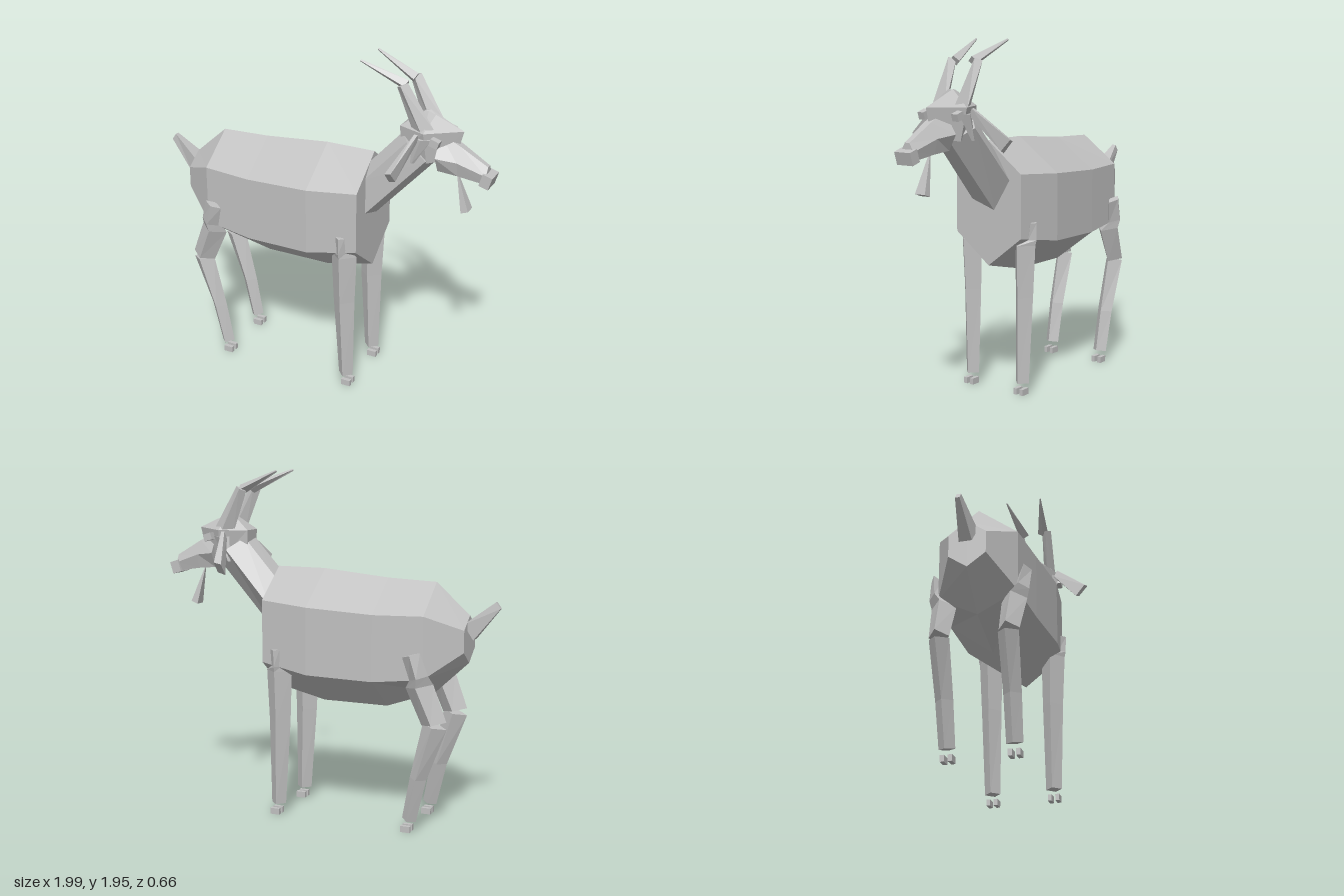
import * as THREE from 'three';

const coat = new THREE.MeshStandardMaterial({ color: 0xc0c0c0, flatShading: true });
coat.name = 'greyCoat';

// Closed solid through a list of rings with equal point counts
function loft(name, rings) {
  const n = rings[0].length;
  const tris = [];
  const cap = (ring, flip) => {
    for (let i = 1; i < n - 1; i++) tris.push(flip ? [ring[0], ring[i + 1], ring[i]] : [ring[0], ring[i], ring[i + 1]]);
  };
  for (let r = 0; r < rings.length - 1; r++) {
    for (let i = 0; i < n; i++) {
      const j = (i + 1) % n;
      const a = rings[r][i], b = rings[r][j], c = rings[r + 1][j], d = rings[r + 1][i];
      tris.push([a, b, c], [a, c, d]);
    }
  }
  cap(rings[0], true);
  cap(rings[rings.length - 1], false);
  // Turn the faces outward, whichever way the rings run
  const [ox, oy, oz] = rings[0][0];
  const o = new THREE.Vector3(ox, oy, oz);
  let volume = 0;
  for (const t of tris) {
    const [a, b, c] = t.map((p) => new THREE.Vector3(...p).sub(o));
    volume += a.dot(b.cross(c));
  }
  const pos = tris.flatMap((t) => (volume < 0 ? [t[0], t[2], t[1]] : t).flat());
  const g = new THREE.BufferGeometry();
  g.setAttribute('position', new THREE.Float32BufferAttribute(pos, 3));
  g.computeVertexNormals();
  const mesh = new THREE.Mesh(g, coat);
  mesh.name = name;
  return mesh;
}

// Diamond ring: centre, half length in x, half width in z, slope of the ring along x
const diamond = ([x, y, z, rx, rz, tilt = 0]) => [
  [x + rx, y + rx * tilt, z], [x, y, z + rz], [x - rx, y - rx * tilt, z], [x, y, z - rz],
];
const limb = (name, side, stations) =>
  loft(name, stations.map(([x, y, z, ...rest]) => diamond([x, y, z * side, ...rest])));

function box(name, x, y, z, w, h, d, turn = 0) {
  const mesh = new THREE.Mesh(new THREE.BoxGeometry(w, h, d), coat);
  mesh.position.set(x, y, z);
  mesh.rotation.z = turn;
  mesh.name = name;
  return mesh;
}

export function createModel() {
  const model = new THREE.Group();
  model.name = 'goat';

  // Six-sided barrel: x, ridge, upper side, lower side, belly, half width
  model.add(loft('body', [
    [-0.83, 1.19, 1.12, 1.0, 0.93, 0.10],
    [-0.64, 1.36, 1.20, 0.86, 0.75, 0.215],
    [-0.36, 1.37, 1.195, 0.83, 0.65, 0.24],
    [0.02, 1.405, 1.215, 0.84, 0.65, 0.26],
    [0.305, 1.405, 1.235, 0.885, 0.715, 0.22],
  ].map(([x, top, up, low, belly, w]) => [
    [x, top, 0], [x, up, w], [x, low, w], [x, belly, 0], [x, low, -w], [x, up, -w],
  ])));

  // Neck, slightly turned about its own axis
  const neck = [[1.35, 0.05], [1.27, 0.11], [1.06, 0.11], [1.01, -0.04], [1.18, -0.145], [1.33, -0.05]];
  model.add(loft('neck', [
    neck.map(([y, z]) => [0.29, y, z]),
    neck.map(([y, z]) => {
      const run = 0.2 + (1.35 - y) * 0.52;
      return [0.29 + run, y + run * 1.1, z * 0.9];
    }),
  ]));

  // Skull with a sharp brow line
  const skullRing = (back, side, front) => [
    back, side, front, [side[0], side[1], -side[2]], [back[0], back[1], -back[2]],
  ];
  model.add(loft('skull', [
    skullRing([0.48, 1.47, 0.05], [0.64, 1.43, 0.085], [0.77, 1.45, 0]),
    skullRing([0.475, 1.605, 0.06], [0.63, 1.605, 0.12], [0.81, 1.61, 0]),
    skullRing([0.59, 1.69, 0.012], [0.615, 1.695, 0.015], [0.65, 1.675, 0]),
  ]));

  // Muzzle and nose
  model.add(loft('muzzle', [
    [0.69, 1.585, 1.47, 1.385, 0.095, 0.05],
    [0.80, 1.535, 1.455, 1.375, 0.065, 0.045],
    [0.955, 1.445, 1.40, 1.35, 0.042, 0.03],
  ].map(([x, top, mid, low, w, v]) => [
    [x, top, v * 0.5], [x, mid, w], [x, low, v], [x, low, -v], [x, mid, -w], [x, top, -v * 0.5],
  ])));
  model.add(box('nose', 0.957, 1.375, 0, 0.055, 0.07, 0.105, -0.3));

  // Beard
  model.add(loft('beard', [
    [[0.783, 1.375, 0.004], [0.787, 1.375, 0.004], [0.787, 1.375, -0.004], [0.783, 1.375, -0.004]],
    [[0.825, 1.16, 0.033], [0.865, 1.175, 0.033], [0.865, 1.175, -0.033], [0.825, 1.16, -0.033]],
  ]));

  // Tail
  model.add(loft('tail', [
    [[-0.86, 1.06, 0.035], [-0.81, 1.145, 0.05], [-0.81, 1.145, -0.05], [-0.86, 1.06, -0.035]],
    [[-1.0, 1.235, 0.012], [-0.975, 1.27, 0.012], [-0.975, 1.27, -0.012], [-1.0, 1.235, -0.012]],
  ]));

  for (const s of [1, -1]) {
    const label = s > 0 ? 'left' : 'right';

    // Horn in two bent segments
    model.add(limb(label + 'LowerHorn', s, [
      [0.615, 1.60, 0.075, 0.055, 0.035, 0.4], [0.495, 1.84, 0.088, 0.03, 0.028, 0.5],
    ]));
    model.add(limb(label + 'UpperHorn', s, [
      [0.505, 1.835, 0.062, 0.013, 0.032, 2], [0.265, 1.943, 0.107, 0.003, 0.004, 2],
    ]));

    // Ear flaring outward and down
    model.add(loft(label + 'Ear', [
      [[0.585, 1.60, 0.13 * s], [0.605, 1.60, 0.13 * s], [0.60, 1.56, 0.11 * s], [0.58, 1.56, 0.11 * s]],
      [[0.507, 1.435, 0.318 * s], [0.545, 1.445, 0.33 * s], [0.55, 1.385, 0.275 * s], [0.51, 1.37, 0.263 * s]],
    ]));
    model.add(box(label + 'Eye', 0.695, 1.565, 0.112 * s, 0.05, 0.04, 0.04, -0.3));
    // Cheek tuft below the ear
    model.add(limb(label + 'Cheek', s, [
      [0.62, 1.57, 0.10, 0.05, 0.03], [0.57, 1.43, 0.11, 0.012, 0.01],
    ]));

    // Front leg
    model.add(limb(label + 'FrontLeg', s, [
      [0.218, 0.965, 0.24, 0.027, 0.022],
      [0.216, 0.87, 0.225, 0.03, 0.035],
      [0.217, 0.84, 0.185, 0.077, 0.068],
      [0.217, 0.55, 0.18, 0.065, 0.058],
      [0.23, 0.065, 0.175, 0.044, 0.044],
    ]));

    // Hind leg: thigh, then shin
    model.add(limb(label + 'Thigh', s, [
      [-0.585, 0.995, 0.245, 0.05, 0.03, -0.3],
      [-0.622, 0.87, 0.225, 0.052, 0.045, -0.3],
      [-0.615, 0.82, 0.19, 0.078, 0.068, -0.2],
      [-0.698, 0.62, 0.185, 0.07, 0.055, -0.2],
    ]));
    model.add(limb(label + 'Shin', s, [
      [-0.702, 0.607, 0.182, 0.067, 0.055, 0.2],
      [-0.61, 0.305, 0.178, 0.047, 0.048, 0.1],
      [-0.56, 0.067, 0.175, 0.04, 0.044, 0.2],
    ]));

    // Cloven hooves
    for (const x of [-0.547, 0.243]) {
      for (const z of [0.154, 0.196]) {
        model.add(box(label + 'Hoof', x, 0.018, z * s, 0.055, 0.035, 0.022));
      }
    }
  }
  return model;
}
